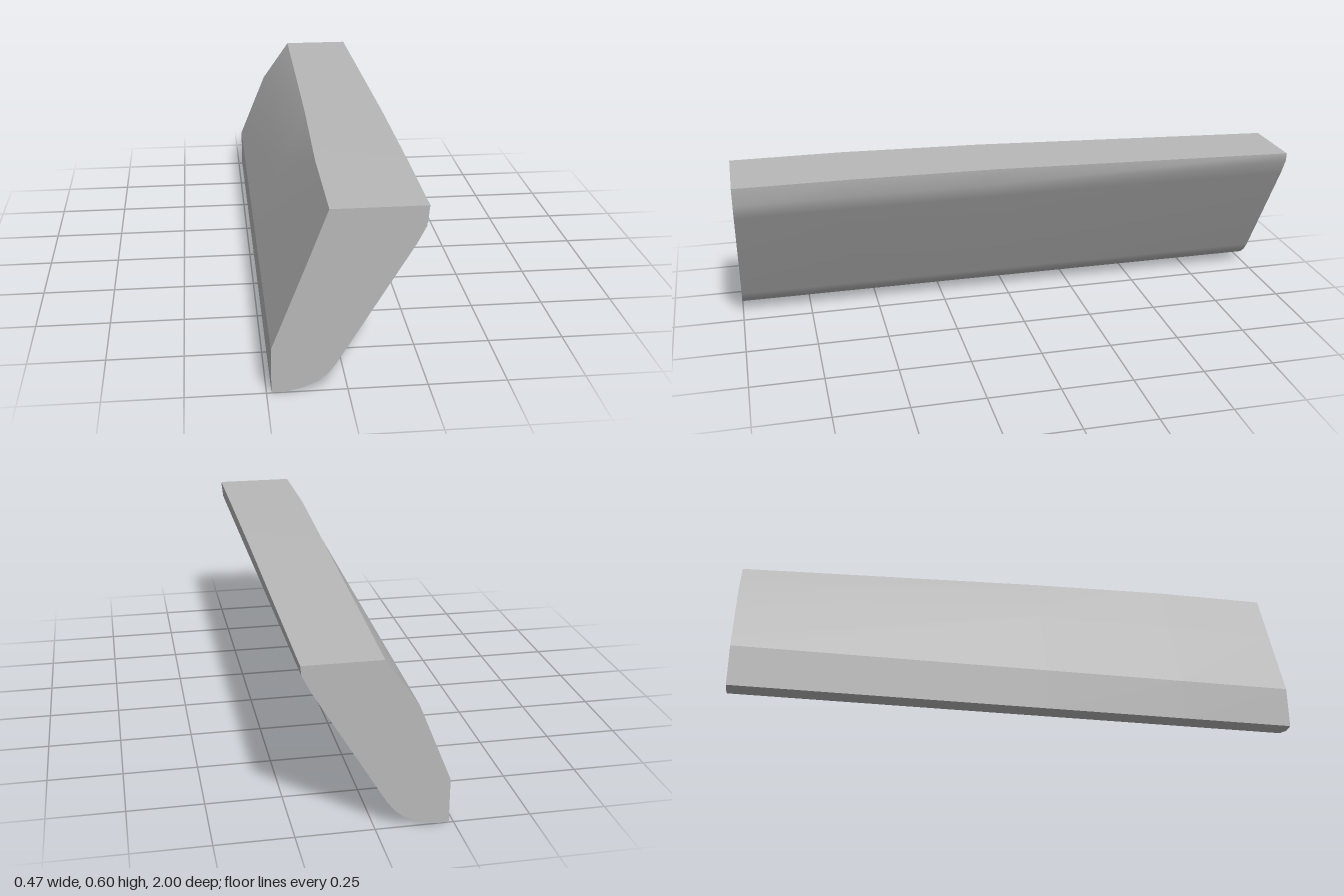
import * as THREE from 'three';
import { mergeGeometries } from 'three/addons/utils/BufferGeometryUtils.js';

// Stations along the beam: depth z, top height, x of the upper left edge,
// and height of the point halfway up the sloping left side.
const stations = [
  { z: 1, top: 0.6, edge: -0.06, mid: 0.42 },
  { z: 0.6, top: 0.6, edge: -0.06, mid: 0.42 },
  { z: 0.1, top: 0.595, edge: -0.045, mid: 0.418 },
  { z: -1, top: 0.565, edge: -0.02, mid: 0.41 },
];

// Rounded keel and long underside, the same at every station
const underside = [
  [-0.235, 0.004], [-0.2, 0], [-0.14, 0.013], [-0.09, 0.035], [-0.06, 0.06],
  [-0.037, 0.09], [0.2, 0.48], [0.228, 0.535],
];

// Counter-clockwise cross-section, seen from the front
function section({ z, top, edge, mid }) {
  const right = 0.228 + 0.007 * (top - 0.535) / 0.065;
  return [...underside, [right, top], [edge, top], [-0.129, mid], [-0.235, 0.15], underside[0]]
    .map(([x, y]) => [x, y, z]);
}

function indexed(points, index) {
  const g = new THREE.BufferGeometry();
  g.setAttribute('position', new THREE.Float32BufferAttribute(points.flat(), 3));
  g.setIndex(index);
  g.computeVertexNormals();
  return g;
}

// Smooth strip between two section points, running the whole length
function strip(sections, from, to) {
  const n = to - from + 1;
  const index = [];
  for (let s = 0; s < sections.length - 1; s++) {
    for (let i = 0; i < n - 1; i++) {
      const a = s * n + i, b = a + 1, c = a + n, d = b + n;
      index.push(a, c, d, a, d, b);
    }
  }
  return indexed(sections.flatMap((p) => p.slice(from, to + 1)), index);
}

// Flat end face
function cap(points, back) {
  const index = [];
  for (let i = 1; i < points.length - 2; i++) {
    index.push(0, back ? i + 1 : i, back ? i : i + 1);
  }
  return indexed(points, index);
}

export function createModel() {
  const group = new THREE.Group();
  group.name = 'beam';
  const grey = new THREE.MeshStandardMaterial({ color: 0xb8b8b8 });
  grey.name = 'grey';

  const sections = stations.map(section);
  const geometry = mergeGeometries([
    strip(sections, 0, 8),   // keel and underside
    strip(sections, 8, 9),   // top
    strip(sections, 9, 11),  // sloping left side
    strip(sections, 11, 12), // upright left side
    cap(sections[0], false),
    cap(sections[sections.length - 1], true),
  ]);
  const body = new THREE.Mesh(geometry, grey);
  body.name = 'beamBody';
  group.add(body);
  return group;
}
